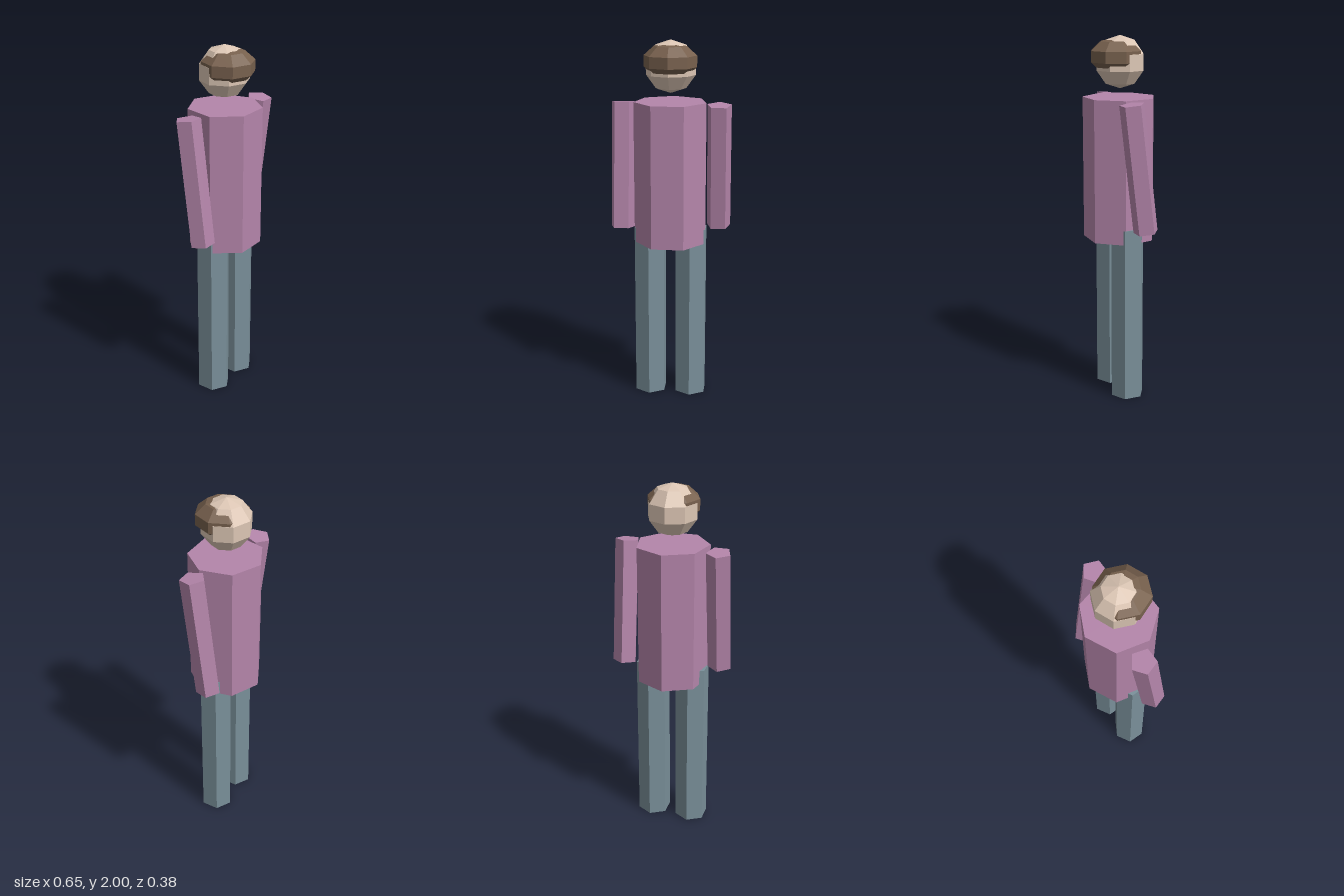
import * as THREE from 'three';

function material(name, color) {
  const m = new THREE.MeshStandardMaterial({ color, flatShading: true });
  m.name = name;
  return m;
}

export function createModel() {
  const shirt = material('mauve shirt', 0xb485aa);
  const trousers = material('slate trousers', 0x7a909a);
  const skin = material('skin', 0xdcc6b4);
  const hairBrown = material('brown hair', 0x78614e);

  const model = new THREE.Group();
  model.name = 'figure';

  function add(name, geometry, mat, x, y, z) {
    const mesh = new THREE.Mesh(geometry, mat);
    mesh.name = name;
    mesh.position.set(x, y, z);
    model.add(mesh);
    return mesh;
  }

  // Upright prism with one corner pointing to the back
  const prism = (radius, height, sides) =>
    new THREE.CylinderGeometry(radius, radius, height, sides, 1, false, Math.PI);

  // Seven-sided torso
  add('torso', prism(0.2, 0.775, 7), shirt, 0, 1.2875, 0.01);

  // Six-sided legs and five-sided arms, the arms swinging in opposite directions
  for (const [side, s] of [['left', 1], ['right', -1]]) {
    add(side + 'Leg', prism(0.094, 0.98, 6), trousers, s * 0.114, 0.49, 0.0125);
    const arm = add(side + 'Arm', prism(0.068, 0.687, 5), shirt, s * 0.262, 1.324, 0.009);
    arm.rotation.x = s * 0.12;
  }

  // Faceted head, with a flattened band of hair set slightly forward
  add('head', new THREE.SphereGeometry(0.14, 8, 5), skin, 0, 1.86, 0.008);
  const hair = new THREE.SphereGeometry(0.1488, 8, 5);
  hair.scale(1, 0.65, 1);
  add('hair', hair, hairBrown, 0, 1.89, 0.03);

  return model;
}
